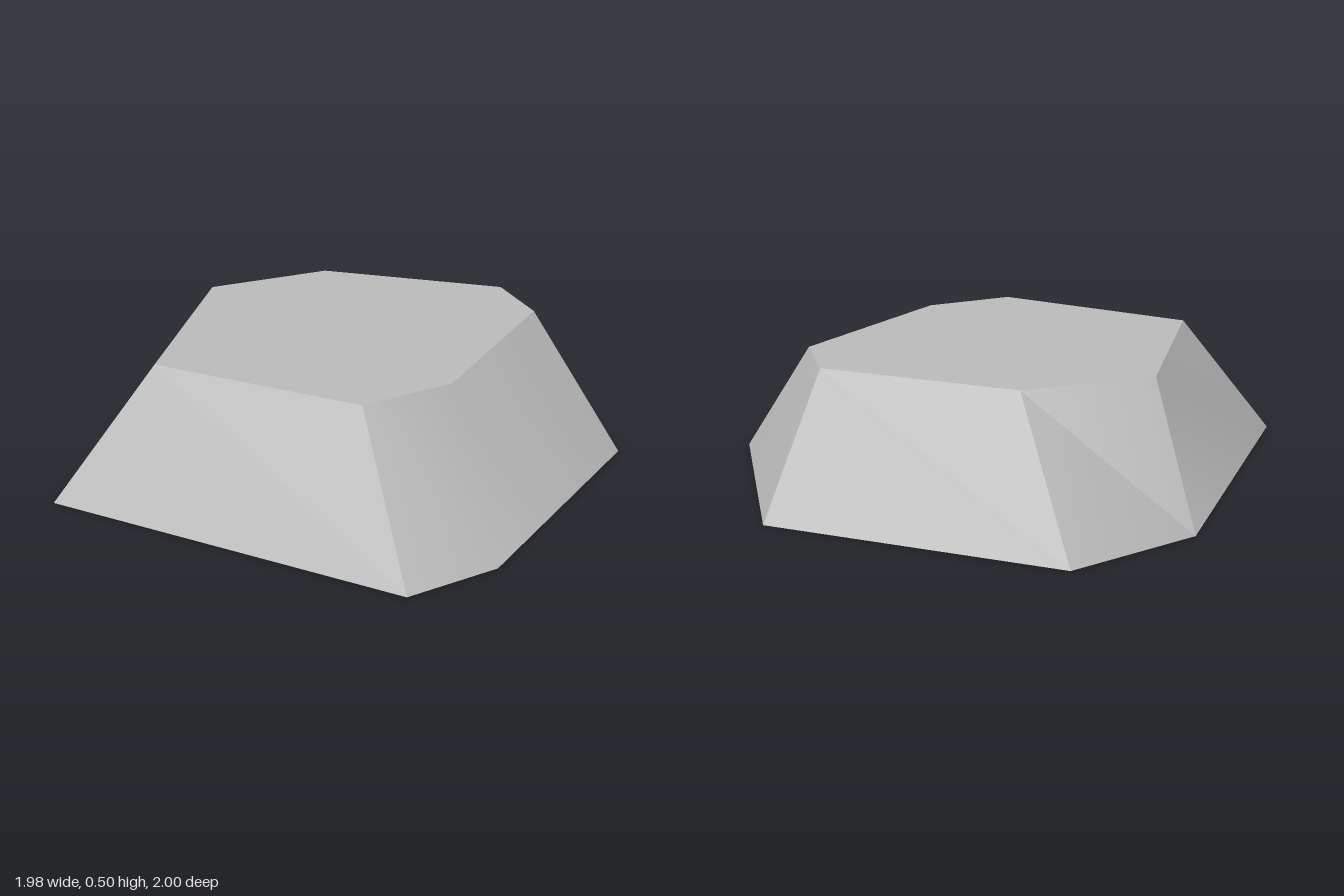
import * as THREE from 'three';
import { toCreasedNormals } from 'three/addons/utils/BufferGeometryUtils.js';

const HEIGHT = 0.5;

// Matching [x, z] outlines, anticlockwise as seen from above
const BASE = [[-0.99, -0.36], [-0.84, 0.92], [0.6, 1], [0.82, 0.71], [0.99, -0.33], [0.4, -1], [-0.73, -0.83]];
const TOP = [[-0.75, -0.18], [-0.54, 0.64], [0.3, 0.67], [0.52, 0.37], [0.58, -0.44], [0.37, -0.66], [-0.4, -0.56]];

function buildMesh(name, corners, material) {
  const geometry = new THREE.BufferGeometry();
  geometry.setAttribute('position', new THREE.Float32BufferAttribute(corners.flat(), 3));
  // Only the gentle corner on the side stays smooth
  const mesh = new THREE.Mesh(toCreasedNormals(geometry, 0.6), material);
  mesh.name = name;
  return mesh;
}

export function createModel() {
  const group = new THREE.Group();
  group.name = 'rock';
  const stone = new THREE.MeshStandardMaterial({ color: 0xbababa, side: THREE.DoubleSide });
  stone.name = 'stone grey';

  const low = BASE.map(([x, z]) => [x, 0, z]);
  const high = TOP.map(([x, z]) => [x, HEIGHT, z]);

  // Sloping sides, open underneath
  const sides = [];
  low.forEach((a, i) => {
    const j = (i + 1) % low.length;
    sides.push(a, low[j], high[i], low[j], high[j], high[i]);
  });
  group.add(buildMesh('slopingSides', sides, stone));

  // Flat top
  const top = [];
  for (let i = 1; i < high.length - 1; i++) top.push(high[0], high[i], high[i + 1]);
  group.add(buildMesh('flatTop', top, stone));

  return group;
}
